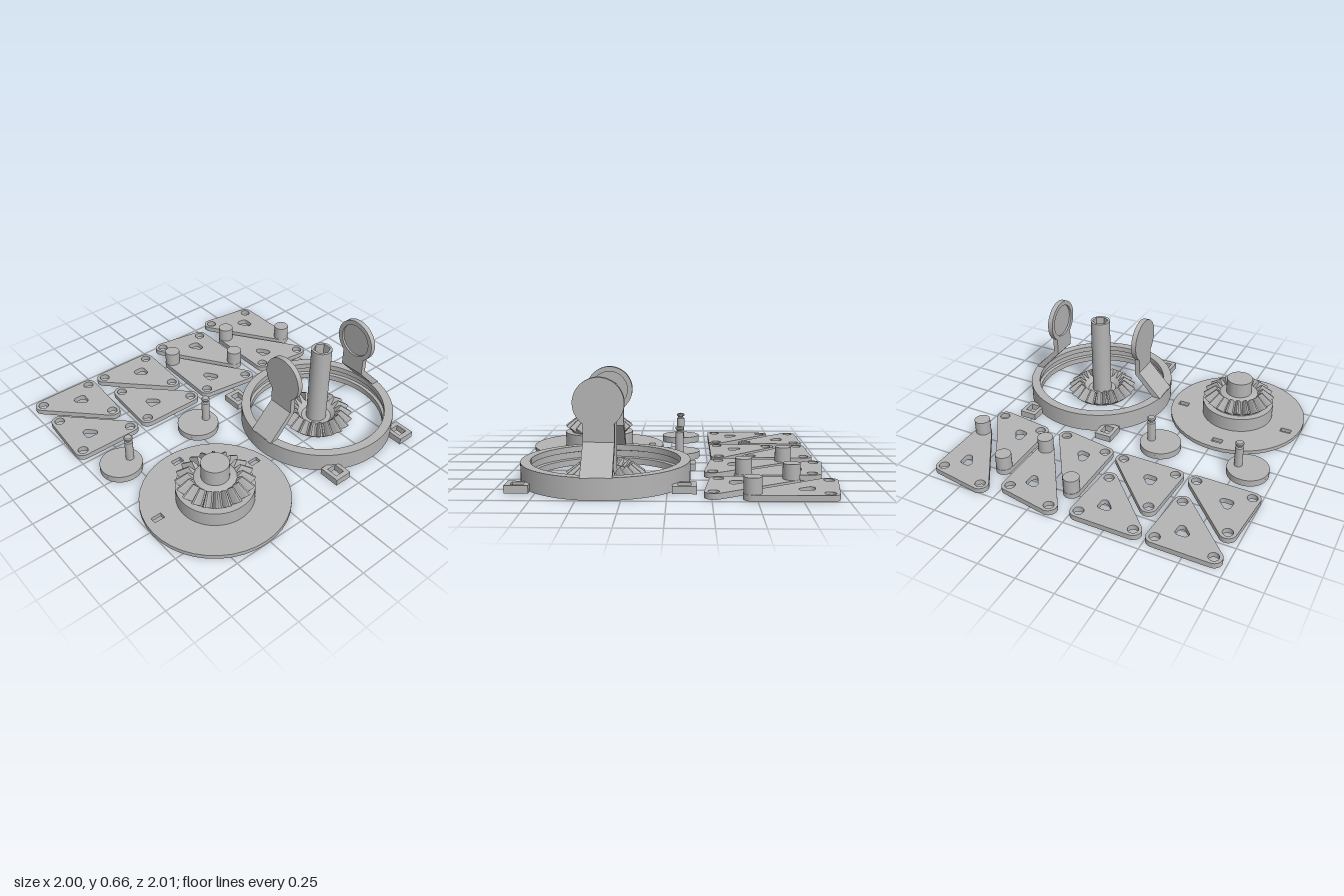
import * as THREE from 'three';
import { toCreasedNormals } from 'three/addons/utils/BufferGeometryUtils.js';
import { ConvexGeometry } from 'three/addons/geometries/ConvexGeometry.js';

export function createModel() {
  const model = new THREE.Group();
  const grey = new THREE.MeshStandardMaterial({ color: 0xb4b4b4 });
  grey.name = 'plain grey';

  // ---------- helpers ----------
  function add(parent, name, geo, x = 0, y = 0, z = 0) {
    const m = new THREE.Mesh(geo, grey);
    m.name = name;
    m.position.set(x, y, z);
    parent.add(m);
    return m;
  }
  function group(name, x = 0, y = 0, z = 0) {
    const g = new THREE.Group();
    g.name = name;
    g.position.set(x, y, z);
    model.add(g);
    return g;
  }
  const vecs = (pts) => pts.map(([a, b]) => new THREE.Vector2(a, b));
  const lathe = (pts, seg = 64) => toCreasedNormals(new THREE.LatheGeometry(vecs(pts), seg), 0.5);
  const extrude = (shape, depth) => toCreasedNormals(
    new THREE.ExtrudeGeometry(shape, { depth, bevelEnabled: false, curveSegments: 20 }), 0.5);
  // Flat plate: shape drawn in (x, -z), thickness up
  const plate = (shape, h) => extrude(shape, h).rotateX(-Math.PI / 2);
  const circle = (x, y, r) => new THREE.Shape().absarc(x, y, r, 0, Math.PI * 2, false);
  const polygon = (n, r) => new THREE.Shape(Array.from({ length: n }, (_, i) =>
    new THREE.Vector2(r * Math.sin(i * 2 * Math.PI / n), r * Math.cos(i * 2 * Math.PI / n))));
  const rect = (x, y, w, h) => new THREE.Shape(vecs([
    [x - w / 2, y - h / 2], [x + w / 2, y - h / 2], [x + w / 2, y + h / 2], [x - w / 2, y + h / 2]]));

  // Triangle with rounded corners of radius r
  function roundedTriangle(corners, r) {
    const v = vecs(corners);
    if (THREE.ShapeUtils.area(v) < 0) v.reverse();
    const s = new THREE.Shape();
    v.forEach((p, i) => {
      const a = v[(i + 2) % 3], b = v[(i + 1) % 3];
      const a0 = Math.atan2(p.y - a.y, p.x - a.x) - Math.PI / 2;
      const a1 = Math.atan2(b.y - p.y, b.x - p.x) - Math.PI / 2;
      s.absarc(p.x, p.y, r, a0, a1, false);
    });
    s.closePath();
    return s;
  }

  // Ring of bevel gear teeth
  function addTeeth(parent, count, y0) {
    const pts = [];
    const end = (r0, h0, r1, h1, k) => [[0, 0.027], [0.5, 0.02], [0.85, 0.013], [1, 0.006]].forEach(([t, w]) => {
      for (const s of [-1, 1]) {
        pts.push(new THREE.Vector3(s * w * k, h0 + (h1 - h0) * t, r0 + (r1 - r0) * t));
      }
    });
    end(0.195, 0, 0.245, 0.045, 1);
    end(0.125, 0.062, 0.165, 0.105, 0.65);
    const tooth = new ConvexGeometry(pts);
    for (let i = 0; i < count; i++) {
      add(parent, 'gearTooth', tooth, 0, y0, 0).rotation.y = i * 2 * Math.PI / count;
    }
  }

  // ---------- base disc with bevel gear ----------
  const base = group('gearBase', -0.53, 0, 0.53);
  const disc = circle(0, 0, 0.47);
  for (const [x, z] of [[0, -0.39], [-0.38, -0.075], [0.38, -0.075]]) {
    disc.holes.push(rect(x, -z, 0.072, 0.042));
  }
  add(base, 'baseDisc', plate(disc, 0.027));
  add(base, 'gearHub', lathe([[0, 0.02], [0.245, 0.02], [0.245, 0.125], [0, 0.125]]));
  add(base, 'gearBody', lathe([[0.2, 0.125], [0.13, 0.195], [0.12, 0.2], [0, 0.2]]));
  add(base, 'gearStub', lathe([[0.088, 0.19], [0.088, 0.305], [0, 0.305]]));
  addTeeth(base, 20, 0.125);

  // ---------- ring housing with arms ----------
  const CX = 0.483, CZ = 0.38;
  const ring = group('ringHousing', CX, 0, CZ);
  add(ring, 'ring', lathe([[0.455, 0], [0.514, 0], [0.514, 0.128], [0.455, 0.128],
    [0.455, 0.09], [0.475, 0.085], [0.475, 0.045], [0.455, 0.04], [0.455, 0]], 96));

  // Square eyelets around the ring
  for (const sx of [-1, 1]) {
    for (const sz of [-1, 1]) {
      const tab = rect(0, 0, 0.118, 0.14);
      tab.holes.push(rect(0, 0, 0.066, 0.076));
      add(ring, 'eyelet', plate(tab, 0.045), sx * 0.3, 0, sz * 0.479);
    }
  }

  // Bent arms carrying round cups that face each other
  for (const s of [-1, 1]) {
    const strip = new THREE.Shape(vecs([[0.513, 0.125], [0.35, 0.295], [0.35, 0.4],
      [0.315, 0.4], [0.315, 0.28], [0.458, 0.125]].map(([x, y]) => [s * x, y])));
    add(ring, 'arm', extrude(strip, 0.18), 0, 0, -0.085);
    const cup = lathe([[0, 0], [0.147, 0], [0.147, 0.035], [0.115, 0.035], [0.115, 0.02], [0, 0.02]], 48);
    add(ring, 'armCup', cup.rotateZ(s * Math.PI / 2), s * 0.35, 0.515, 0.005);
  }

  // ---------- shaft gear inside the ring ----------
  const shaft = group('shaftGear', CX, 0, CZ);
  add(shaft, 'gearBody', lathe([[0, 0], [0.2, 0], [0.14, 0.065], [0.1, 0.03], [0, 0.03]]));
  addTeeth(shaft, 20, 0);
  const tube = circle(0, 0, 0.068);
  tube.holes.push(polygon(6, 0.055));
  add(shaft, 'hexShaft', plate(tube, 0.565), 0, 0.025, 0);

  // ---------- small crank discs with pins ----------
  for (const [x, z] of [[-0.823, -0.067], [-0.203, -0.063]]) {
    const crank = group('crank', x, 0, z);
    const lower = circle(0, 0, 0.138);
    lower.holes.push(polygon(6, 0.045));
    add(crank, 'crankDiscLower', plate(lower, 0.025));
    add(crank, 'crankDiscUpper', lathe([[0, 0.025], [0.138, 0.025], [0.138, 0.045], [0, 0.045]], 48));
    add(crank, 'crankPin', lathe([[0.027, 0.04], [0.027, 0.185], [0.019, 0.192], [0.019, 0.2],
      [0.028, 0.207], [0.028, 0.217], [0.022, 0.223], [0, 0.223]], 24), 0.068, 0, 0);
  }

  // ---------- triangular link plates: three corners (x, z), window centre, peg corner ----------
  const links = [
    [[-0.92, -0.9], [-0.556, -0.9], [-0.578, -0.55], [-0.68, -0.79], -1],
    [[-0.92, -0.68], [-0.947, -0.33], [-0.578, -0.33], [-0.824, -0.444], -1],
    [[-0.417, -0.9], [-0.053, -0.9], [-0.07, -0.545], [-0.17, -0.79], -1],
    [[-0.412, -0.68], [-0.433, -0.33], [-0.064, -0.33], [-0.31, -0.444], -1],
    [[0.134, -0.936], [0.449, -0.882], [0.449, -0.46], [0.342, -0.79], 2],
    [[0.086, -0.743], [0.08, -0.32], [0.4, -0.273], [0.19, -0.417], 0],
    [[0.626, -0.952], [0.941, -0.904], [0.941, -0.476], [0.84, -0.797], 2],
    [[0.594, -0.733], [0.594, -0.3], [0.91, -0.262], [0.69, -0.4], 0],
  ];
  for (const [a, b, c, w, peg] of links) {
    const link = group('linkPlate');
    const corners = [a, b, c].map(([x, z]) => [x, -z]);
    const shape = roundedTriangle(corners, 0.054);
    const mid = [0, 1].map((k) => (corners[0][k] + corners[1][k] + corners[2][k]) / 3);
    shape.holes.push(roundedTriangle(corners.map(([x, y]) =>
      [w[0] + (x - mid[0]) * 0.1, -w[1] + (y - mid[1]) * 0.1]), 0.025));
    corners.forEach(([x, y], i) => {
      if (i !== peg) shape.holes.push(circle(x, y, 0.033));
      else add(link, 'peg', lathe([[0.052, 0.02], [0.052, 0.13], [0, 0.13]], 32), x, 0, -y);
    });
    add(link, 'plate', plate(shape, 0.035));
  }
  return model;
}
